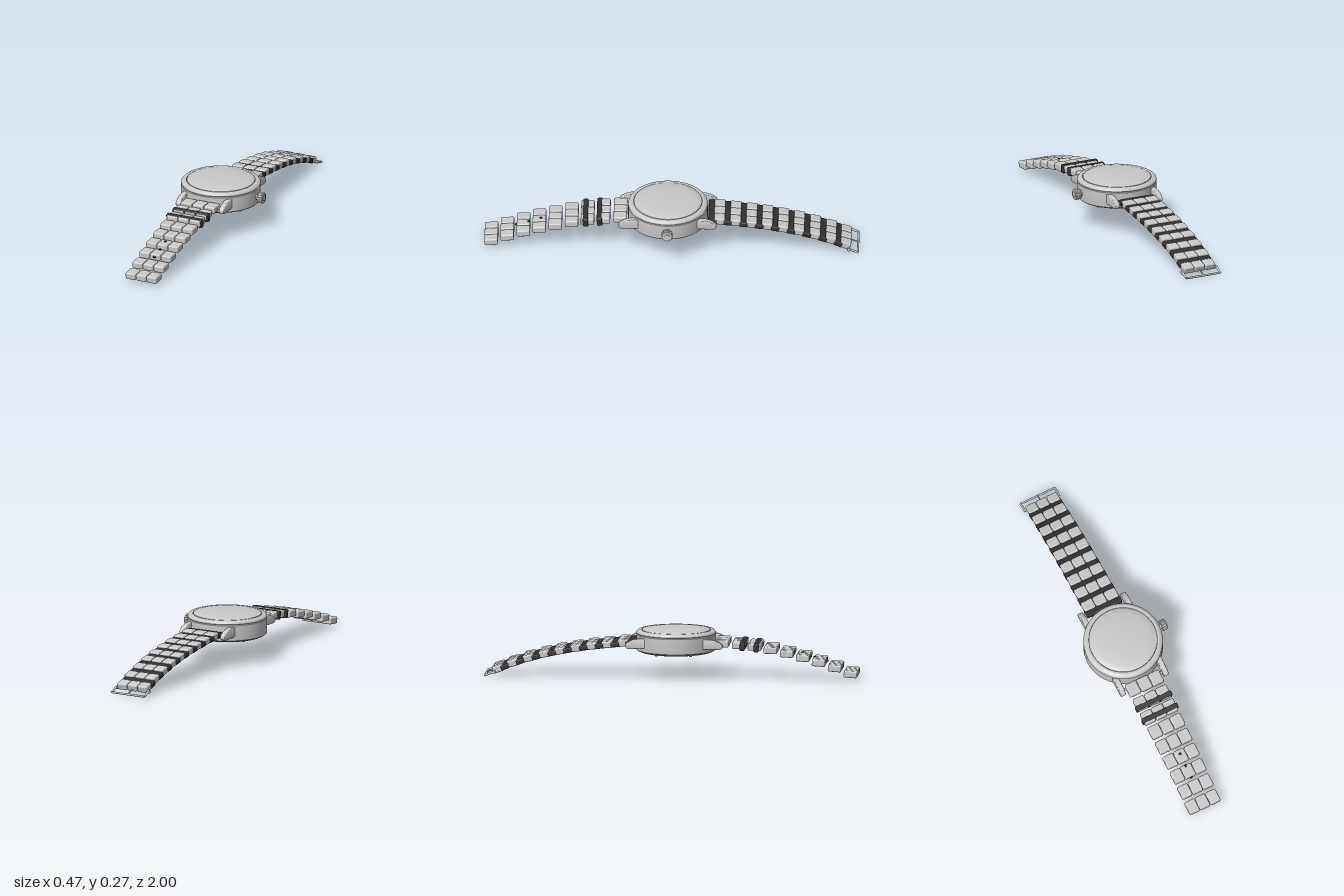
import * as THREE from 'three';
import { toCreasedNormals } from 'three/addons/utils/BufferGeometryUtils.js';
import { RoundedBoxGeometry } from 'three/addons/geometries/RoundedBoxGeometry.js';

const CX = -0.0225, CZ = 0.022; // centre of the watch case

export function createModel() {
  const steel = new THREE.MeshStandardMaterial({ color: 0xcacaca });
  steel.name = 'steel';
  const dark = new THREE.MeshStandardMaterial({ color: 0x303030 });
  dark.name = 'dark rubber';
  const model = new THREE.Group();
  model.name = 'wristwatch';

  const add = (parent, name, geometry, material, x = 0, y = 0, z = 0) => {
    const mesh = new THREE.Mesh(geometry, material);
    mesh.name = name;
    mesh.position.set(x, y, z);
    parent.add(mesh);
    return mesh;
  };
  const lathe = (pts) => toCreasedNormals(
    new THREE.LatheGeometry(pts.map(([r, y]) => new THREE.Vector2(r, y)), 72), 0.5);
  const rod = (parent, name, a, b, r, material = steel) => {
    const from = new THREE.Vector3(...a), to = new THREE.Vector3(...b);
    const dir = to.clone().sub(from);
    const mesh = add(parent, name, new THREE.CylinderGeometry(r, r, dir.length(), 12), material);
    mesh.position.copy(from).add(to).multiplyScalar(0.5);
    mesh.quaternion.setFromUnitVectors(new THREE.Vector3(0, 1, 0), dir.normalize());
    return mesh;
  };

  // Case, bezel, crystal and case back
  const head = new THREE.Group();
  head.name = 'watchHead';
  head.position.set(CX, 0, CZ);
  model.add(head);
  add(head, 'caseBody', lathe([[0.19, 0.144], [0.206, 0.145], [0.2115, 0.150], [0.2125, 0.157],
    [0.2125, 0.232], [0.209, 0.235], [0.19, 0.235]]), steel);
  add(head, 'bezel', lathe([[0.2, 0.235], [0.210, 0.236], [0.2125, 0.240], [0.211, 0.246],
    [0.206, 0.252], [0.198, 0.256], [0.189, 0.257], [0.184, 0.255], [0.183, 0.248]]), steel);
  add(head, 'crystalSeal', lathe([[0.186, 0.251], [0.178, 0.251]]), dark);
  add(head, 'crystal', lathe([[0.1815, 0.245], [0.1815, 0.2565], [0.178, 0.2585], [0.15, 0.263],
    [0.12, 0.2665], [0.08, 0.269], [0.04, 0.27], [0, 0.27]]), steel);
  add(head, 'caseBack', lathe([[0, 0.139], [0.06, 0.1385], [0.115, 0.1365], [0.122, 0.135],
    [0.180, 0.136], [0.193, 0.139], [0.2, 0.146]]), steel);
  for (let i = 0; i < 6; i++) {
    const a = (i + 0.5) * Math.PI / 3;
    add(head, 'caseBackScrew', new THREE.CylinderGeometry(0.008, 0.008, 0.008, 12), steel,
      Math.cos(a) * 0.183, 0.1375, Math.sin(a) * 0.183);
  }

  // Lugs and spring bars, front and rear
  const lugShape = new THREE.Shape();
  lugShape.moveTo(0.15, 0.220);
  lugShape.lineTo(0.195, 0.219);
  lugShape.quadraticCurveTo(0.238, 0.211, 0.256, 0.190);
  lugShape.quadraticCurveTo(0.261, 0.175, 0.245, 0.172);
  lugShape.lineTo(0.15, 0.174);
  const lugGeo = toCreasedNormals(new THREE.ExtrudeGeometry(lugShape, {
    depth: 0.02, bevelEnabled: true, bevelSize: 0.004, bevelThickness: 0.005, bevelSegments: 3, curveSegments: 8,
  }).translate(0, 0, -0.01).rotateY(-Math.PI / 2), 0.6);
  for (const end of [0, Math.PI]) {
    const lugs = new THREE.Group();
    lugs.name = end ? 'rearLugs' : 'frontLugs';
    lugs.rotation.y = end;
    head.add(lugs);
    for (const s of [-1, 1]) add(lugs, 'lug', lugGeo, steel, s * 0.128, 0, 0);
    rod(lugs, 'springBar', [-0.128, 0.192, 0.236], [0.128, 0.192, 0.236], 0.007);
  }

  // Crown with a fluted rim
  const crown = new THREE.Group();
  crown.name = 'crown';
  crown.position.set(0, 0.192, CZ);
  model.add(crown);
  rod(crown, 'crownStem', [0.17, 0, 0], [0.21, 0, 0], 0.014);
  const flutes = new THREE.Shape();
  for (let i = 0; i < 56; i++) {
    const a = i / 56 * Math.PI * 2, r = i % 4 < 2 ? 0.029 : 0.0265;
    flutes[i ? 'lineTo' : 'moveTo'](Math.cos(a) * r, Math.sin(a) * r);
  }
  const crownGeo = new THREE.ExtrudeGeometry(flutes, {
    depth: 0.023, bevelEnabled: true, bevelSize: 0.001, bevelThickness: 0.003, bevelSegments: 1 });
  add(crown, 'crownKnob', crownGeo.rotateY(Math.PI / 2), steel, 0.206);
  rod(crown, 'crownCap', [0.225, 0, 0], [0.2355, 0, 0], 0.016);

  // Each strap row is three rounded links side by side
  const strapRow = (parent, y, z, width, length, tilt) => {
    const row = new THREE.Group();
    row.name = 'linkRow';
    row.position.set(CX, y, z);
    row.rotation.x = tilt;
    parent.add(row);
    const pitch = width / 3;
    const geo = new RoundedBoxGeometry(pitch - 0.003, 0.037, length, 2, 0.008);
    for (const i of [-1, 0, 1]) add(row, 'link', geo, steel, i * pitch, 0, 0);
  };

  // Front strap, rows as [z, y]
  const front = new THREE.Group();
  front.name = 'frontStrap';
  model.add(front);
  const frontRows = [[0.275, 0.193], [0.365, 0.187], [0.45, 0.178], [0.535, 0.162], [0.622, 0.143],
    [0.708, 0.122], [0.793, 0.097], [0.879, 0.069], [0.964, 0.038]];
  frontRows.forEach(([z, y], i) => strapRow(front, y, z, 0.205 - i * 0.0023, 0.072, 0.01 * i));
  for (const [z, y] of [[0.385, 0.183], [0.46, 0.176]]) {
    add(front, 'keeperLoop', new RoundedBoxGeometry(0.212, 0.047, 0.028, 2, 0.006), dark, CX, y, z).rotation.x = 0.1;
  }
  for (const [z, y] of [[0.70, 0.1395], [0.765, 0.1165], [0.83, 0.098]]) {
    add(front, 'strapHole', new THREE.CylinderGeometry(0.008, 0.008, 0.008, 12), dark, CX, y, z);
  }

  // Rear strap with a dark joint beside every row
  const rear = new THREE.Group();
  rear.name = 'rearStrap';
  model.add(rear);
  const rearRows = [[-0.255, 0.191], [-0.34, 0.182], [-0.425, 0.172], [-0.509, 0.160], [-0.594, 0.144],
    [-0.678, 0.126], [-0.763, 0.102], [-0.848, 0.074], [-0.927, 0.042]];
  rearRows.forEach(([z, y], i) => {
    const [pz, py] = i ? rearRows[i - 1] : [-0.18, 0.197];
    const slope = -Math.atan2(py - y, pz - z), width = 0.205 - i * 0.002;
    strapRow(rear, y, z, width, 0.058, slope * 0.8);
    add(rear, 'joint', new RoundedBoxGeometry(width + 0.004, 0.027, 0.046, 2, 0.006), dark,
      CX, (y + py) / 2 - 0.004, (z + pz) / 2).rotation.x = slope;
  });

  // Buckle frame with its tongue
  const buckle = new THREE.Group();
  buckle.name = 'buckle';
  model.add(buckle);
  const bw = 0.1015, inner = [0.03, -0.942], outer = [0.009, -0.994];
  rod(buckle, 'buckleHinge', [CX - bw, ...inner], [CX + bw, ...inner], 0.005);
  rod(buckle, 'buckleBar', [CX - bw, ...outer], [CX + bw, ...outer], 0.0055);
  rod(buckle, 'buckleTongue', [CX, ...inner], [CX, 0.012, -0.994], 0.0035);
  for (const s of [-1, 1]) {
    rod(buckle, 'buckleArm', [CX + s * bw, ...inner], [CX + s * bw, ...outer], 0.006);
    rod(buckle, 'buckleKnob', [CX + s * 0.094, 0.026, -0.945], [CX + s * 0.107, 0.026, -0.945], 0.009);
  }
  return model;
}
